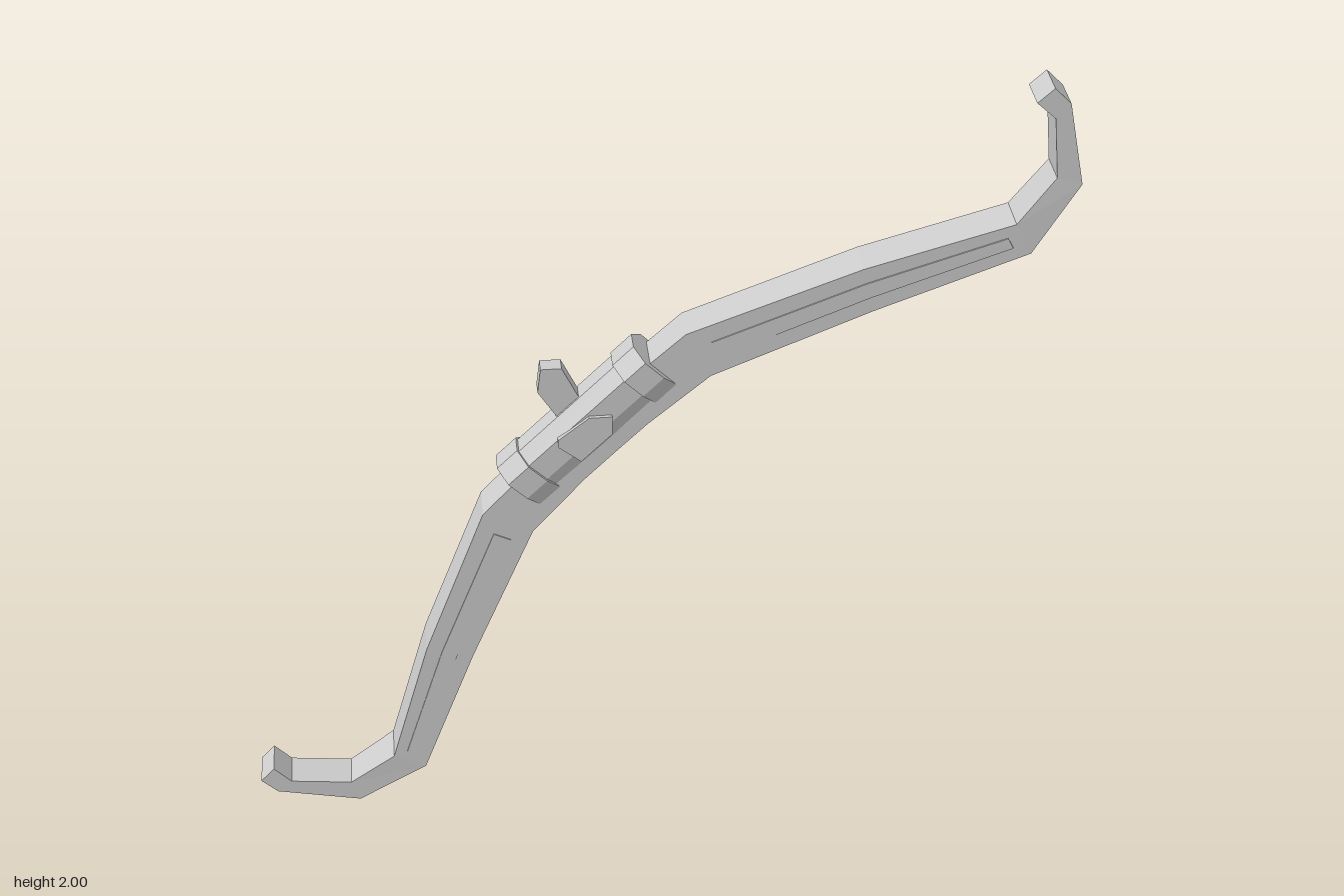
import * as THREE from 'three';

const material = new THREE.MeshStandardMaterial({ color: 0xcccccc, flatShading: true });

function addMesh(parent, name, geometry) {
  const mesh = new THREE.Mesh(geometry, material);
  mesh.name = name;
  parent.add(mesh);
  return mesh;
}

// One half of the bow: back edge x, y, belly edge x, y, half thickness
const half = [
  [-0.155, 1.155, -0.075, 1.075, 0.045],
  [-0.03, 1.29, 0.0, 1.15, 0.046],
  [0.09, 1.4, 0.15, 1.28, 0.047],
  [0.5, 1.555, 0.53, 1.44, 0.05],
  [0.85, 1.655, 0.89, 1.575, 0.05],
  [0.935, 1.77, 0.995, 1.75, 0.045],
  [0.918, 1.923, 0.95, 1.96, 0.045],
  [0.872, 1.965, 0.91, 2.0, 0.045],
];
// The other half is mirrored across the diagonal x + y = 1
const mirror = ([ax, ay, bx, by, w]) => [1 - ay, 1 - ax, 1 - by, 1 - bx, w];

// Four-sided loft through stations ordered along the bow
function loft(stations) {
  const pos = [];
  const quad = (a, b, c, d) => pos.push(...a, ...b, ...c, ...a, ...c, ...d);
  const rings = stations.map(([ax, ay, bx, by, w]) => [
    [ax, ay, w], [bx, by, w], [bx, by, -w], [ax, ay, -w],
  ]);
  for (let i = 0; i < rings.length - 1; i++) {
    for (let k = 0; k < 4; k++) {
      const n = (k + 1) % 4;
      quad(rings[i][k], rings[i][n], rings[i + 1][n], rings[i + 1][k]);
    }
  }
  const first = rings[0], last = rings[rings.length - 1];
  quad(first[3], first[2], first[1], first[0]);
  quad(last[0], last[1], last[2], last[3]);
  const geometry = new THREE.BufferGeometry();
  geometry.setAttribute('position', new THREE.Float32BufferAttribute(pos, 3));
  geometry.computeVertexNormals();
  return geometry;
}

// Narrow part of each station between fractions s and e, slightly proud of the side
const strip = (stations, s, e) => stations.map(([ax, ay, bx, by, w]) => {
  const at = (t) => [ax + (bx - ax) * t, ay + (by - ay) * t];
  return [...at(s), ...at(e), w + 0.003];
});

// Flat outline extruded symmetrically about z = 0
function slab(points, depth) {
  const shape = new THREE.Shape(points.map(([x, y]) => new THREE.Vector2(x, y)));
  return new THREE.ExtrudeGeometry(shape, { depth, bevelEnabled: false }).translate(0, 0, -depth / 2);
}

// Faceted wrap: half profile (height, half width) mirrored, extruded along local x
function wrap(profile, length) {
  const points = [
    ...profile.map(([v, z]) => [z, v]),
    ...profile.map(([v, z]) => [-z, v]).reverse(),
  ];
  return slab(points, length).rotateY(Math.PI / 2);
}

export function createModel() {
  const bow = new THREE.Group();
  bow.name = 'bow';

  // Body with both limbs and hooked tips
  const body = [...half.slice(1).reverse().map(mirror), ...half];
  addMesh(bow, 'bowBody', loft(body));

  // Inlaid strips on the limb sides
  const run = [[0.13, 1.415, 0.19, 1.295, 0.047], half[3], [0.82, 1.646, 0.86, 1.567, 0.05]];
  addMesh(bow, 'upperInlay', loft(strip(run, 0.33, 0.67)));
  addMesh(bow, 'lowerInlay', loft(strip(run.map(mirror).reverse(), 0.33, 0.67)));

  // Grip, aligned with the diagonal of the bow
  const grip = new THREE.Group();
  grip.name = 'grip';
  grip.position.set(-0.145, 1.145, 0);
  grip.rotation.z = Math.PI / 4;
  bow.add(grip);
  addMesh(grip, 'gripSleeve', wrap(
    [[-0.06, 0.045], [-0.025, 0.056], [0.035, 0.056], [0.066, 0.025]], 0.44));
  for (const side of [-1, 1]) {
    const band = addMesh(grip, side > 0 ? 'upperBand' : 'lowerBand', wrap(
      [[-0.07, 0.046], [-0.025, 0.063], [0.037, 0.063], [0.072, 0.027]], 0.07));
    band.position.x = side * 0.198;
  }

  // Pointed plate across the middle of the grip
  addMesh(bow, 'gripPlate', slab([
    [-0.215, 1.11], [-0.16, 1.065], [-0.085, 1.14], [-0.085, 1.19], [-0.14, 1.19], [-0.215, 1.13],
  ], 0.13));

  // Upright arrow rest
  addMesh(bow, 'arrowRest', slab([
    [-0.19, 1.13], [-0.15, 1.17], [-0.16, 1.22], [-0.2, 1.305], [-0.25, 1.305], [-0.258, 1.24],
  ], 0.04));

  return bow;
}
